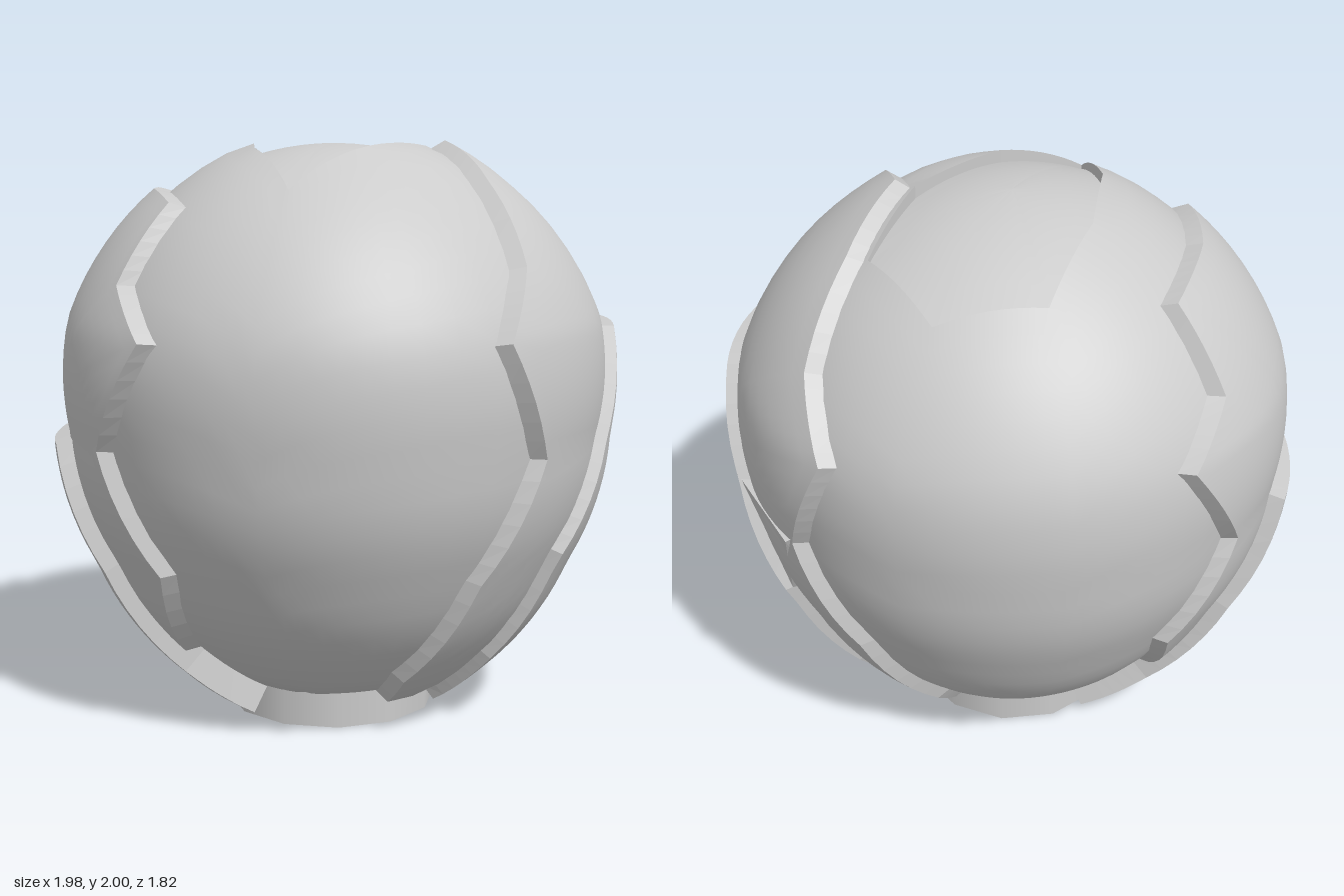
import * as THREE from 'three';
import { ConvexGeometry } from 'three/addons/geometries/ConvexGeometry.js';

const material = new THREE.MeshStandardMaterial({ color: 0xcccccc, side: THREE.DoubleSide });
const CENTER = new THREE.Vector3(0, 1.05, 0);
const v = (x, y, z) => new THREE.Vector3(x, y, z);

// Round body outline as [radius, height], top to bottom
const PROFILE = [[0, 2.0], [0.32, 1.985], [0.58, 1.82], [0.78, 1.6], [0.89, 1.38], [0.89, 1.01],
  [0.77, 0.6], [0.53, 0.25], [0.37, 0.12], [0, 0.1]]
  .map(([r, y]) => ({ phi: Math.atan2(r, y - CENTER.y), rho: Math.hypot(r, y - CENTER.y) }));

// Distance from the centre to the body surface at a polar angle
function surfaceRadius(phi) {
  let i = 1;
  while (i < PROFILE.length - 1 && PROFILE[i].phi < phi) i++;
  const a = PROFILE[i - 1], b = PROFILE[i];
  return THREE.MathUtils.lerp(a.rho, b.rho, (phi - a.phi) / (b.phi - a.phi));
}

// Point on the body in direction dir, raised by offset
function onSurface(dir, offset) {
  const d = dir.clone().normalize();
  const phi = Math.acos(THREE.MathUtils.clamp(d.y, -1, 1));
  return d.multiplyScalar(surfaceRadius(phi) + offset).add(CENTER);
}

// Skin closed rows of points; rows run outward, columns counter-clockwise
function skin(rows, flat = false) {
  const n = rows[0].length, index = [];
  for (let i = 0; i < rows.length - 1; i++) {
    for (let j = 0; j < n; j++) {
      const k = (j + 1) % n;
      const a = i * n + j, b = a + n, c = (i + 1) * n + k, d = i * n + k;
      index.push(a, b, c, a, c, d);
    }
  }
  let geometry = new THREE.BufferGeometry().setFromPoints(rows.flat());
  geometry.setIndex(index);
  if (flat) geometry = geometry.toNonIndexed();
  geometry.computeVertexNormals();
  return geometry;
}

function addMesh(parent, name, geometry) {
  const mesh = new THREE.Mesh(geometry, material);
  mesh.name = name;
  parent.add(mesh);
  return mesh;
}

// Split every edge of a closed outline into short steps
function subdivide(points, steps) {
  return points.flatMap((p, i) => {
    const q = points[(i + 1) % points.length];
    return Array.from({ length: steps }, (_, s) => p.clone().lerp(q, s / steps));
  });
}

// Complete a half outline (front half, top to bottom) by mirroring in z
function mirrored(half) {
  const front = half.map((p) => v(...p));
  const back = front.filter((p) => p.z > 0).reverse().map((p) => v(p.x, p.y, -p.z));
  return front.concat(back);
}

// Raised plate following the body, with a bevelled rim
function plate(name, outline, middle, height, base, bevel) {
  const group = new THREE.Group();
  group.name = name;
  const mid = v(...middle).sub(CENTER).normalize();
  const edge = subdivide(outline, 6).map((p) => p.sub(CENTER).normalize());
  const top = edge.map((d) => d.clone().lerp(mid, bevel / d.distanceTo(mid)));
  const rows = [];
  for (let i = 0; i <= 14; i++) {
    rows.push(top.map((d) => onSurface(mid.clone().lerp(d, i / 14), height)));
  }
  addMesh(group, name + 'Face', skin(rows));
  const foot = edge.map((d) => onSurface(d, base));
  addMesh(group, name + 'Rim', skin([rows[14], foot], true));
  return group;
}

export function createModel() {
  const model = new THREE.Group();
  model.name = 'platedGlobe';

  // Globe shell with an angular opening on top
  const corners = [[-0.18, -0.51], [-0.28, -0.18], [-0.28, 0.18], [-0.18, 0.51],
    [0.08, 0.31], [0.32, 0], [0.42, -0.31], [0.17, -0.58]].map(([x, z]) => v(x, 0, z));
  const opening = subdivide(corners, 8);
  const bodyHeight = (r) => {
    let lo = 0, hi = Math.PI / 2;
    for (let i = 0; i < 30; i++) {
      const m = (lo + hi) / 2;
      if (surfaceRadius(m) * Math.sin(m) < r) lo = m; else hi = m;
    }
    return { phi: lo, y: CENTER.y + surfaceRadius(lo) * Math.cos(lo) };
  };
  const rim = opening.map((p) => {
    const h = bodyHeight(Math.hypot(p.x, p.z));
    return { phi: h.phi, angle: Math.atan2(p.z, p.x), point: v(p.x, h.y, p.z) };
  });
  const shell = [];
  for (let i = 0; i <= 28; i++) {
    shell.push(rim.map(({ phi, angle }) => {
      const a = THREE.MathUtils.lerp(phi, Math.PI, i / 28);
      return onSurface(v(Math.sin(a) * Math.cos(angle), Math.cos(a), Math.sin(a) * Math.sin(angle)), 0);
    }));
  }
  addMesh(model, 'globeShell', skin(shell));

  // Sunken floor and upright walls of the opening
  const floorPoint = (p, t) => v(p.x * t, 1.995 - 0.54 * t * t * (p.x * p.x + p.z * p.z), p.z * t);
  const floor = [0, 0.2, 0.4, 0.6, 0.8, 1].map((t) => opening.map((p) => floorPoint(p, t)));
  addMesh(model, 'topRecessFloor', skin(floor));
  addMesh(model, 'topRecessWall', skin([floor[5], rim.map((r) => r.point)], true));

  // Jagged side shells
  const leftShell = mirrored([[0.34, 1.99, 0], [0.44, 1.87, 0.31], [0.52, 1.6, 0.58], [0.45, 1.38, 0.77],
    [0.58, 1, 0.67], [0.38, 0.6, 0.67], [0.16, 0.23, 0.49], [0.12, 0.12, 0.36], [0.2, 0.12, 0]]);
  const rightShell = mirrored([[-0.57, 1.83, 0], [-0.52, 1.81, 0.35], [-0.68, 1.55, 0.46], [-0.61, 1.38, 0.66],
    [-0.75, 1, 0.47], [-0.55, 0.6, 0.54], [-0.46, 0.23, 0.22], [-0.42, 0.2, 0]]).reverse();
  model.add(plate('leftShell', leftShell, [1, 1.05, 0], 0.045, -0.005, 0.045));
  model.add(plate('rightShell', rightShell, [-1, 1.05, 0], 0.045, -0.005, 0.045));

  // Lower side plates on top of the shells
  const leftPlate = mirrored([[0.92, 1.38, 0.2], [0.85, 1, 0.37], [0.7, 0.65, 0.49],
    [0.47, 0.28, 0.37], [0.3, 0.1, 0.2]]);
  const rightPlate = mirrored([[-0.94, 1, 0.2], [-0.78, 0.56, 0.29], [-0.5, 0.21, 0.28],
    [-0.26, 0.1, 0.28]]).reverse();
  model.add(plate('leftLowerPlate', leftPlate, [0.88, 0.75, 0], 0.085, 0.03, 0.02));
  model.add(plate('rightLowerPlate', rightPlate, [-0.8, 0.55, 0], 0.1, 0, 0.02));

  // Flat triangular shard beside the left plate
  const shard = [v(0.9, 1.01, -0.36), v(0.66, 1.01, -0.69), v(0.71, 0.65, -0.49)];
  const inner = shard.map((p) => v(p.x * 0.9, p.y, p.z * 0.9));
  addMesh(model, 'triangularShard', new ConvexGeometry([...shard, ...inner]));

  // Short stem
  const stem = addMesh(model, 'stem', new THREE.CylinderGeometry(0.372, 0.372, 0.2, 12));
  stem.position.set(-0.01, 0.1, 0);

  return model;
}
